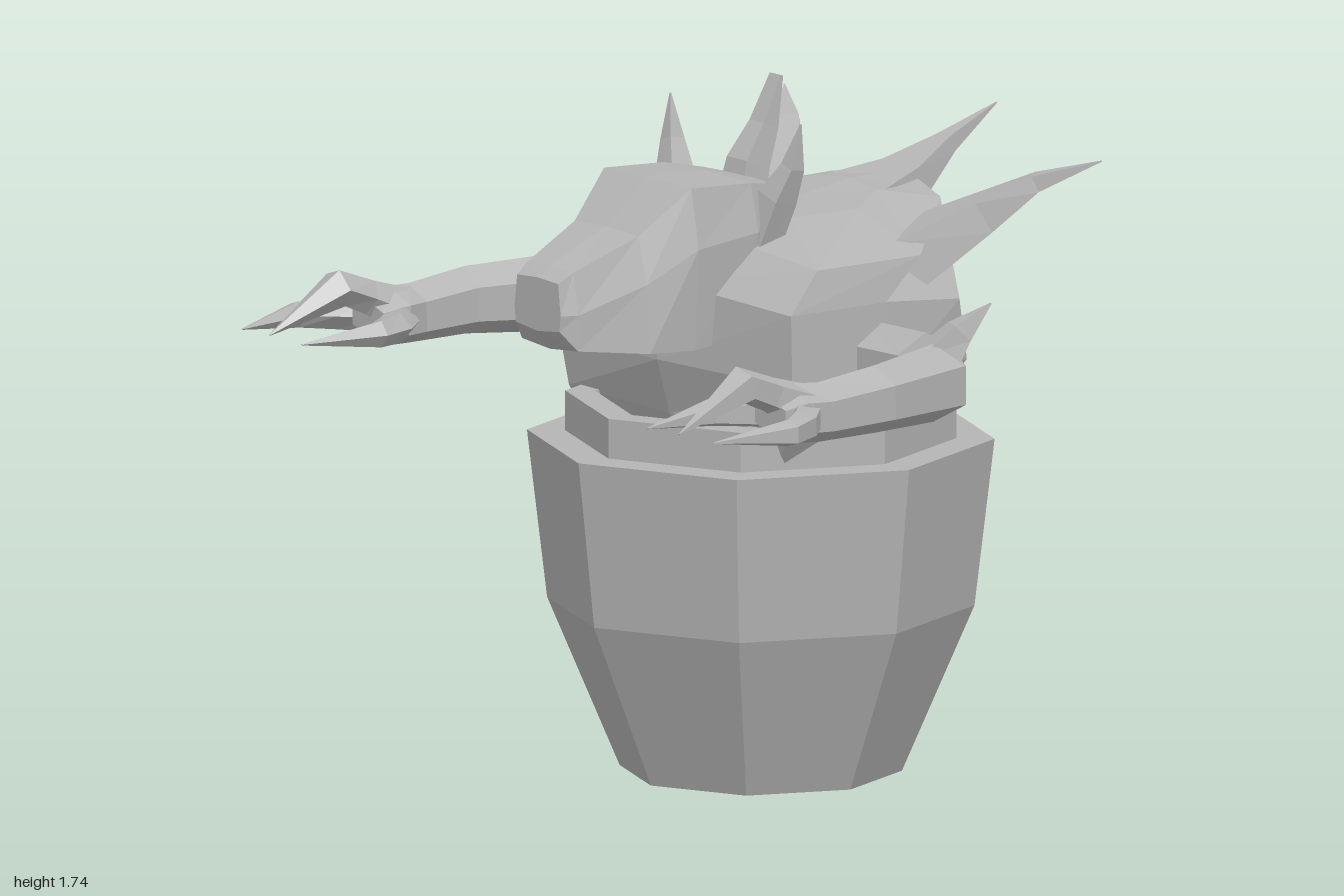
import * as THREE from 'three';

const V = (x, y, z) => new THREE.Vector3(x, y, z);

// Closed skin over a list of rings; faces are turned outward by signed volume
function loft(rings, flip = 1) {
  const tris = [];
  const n = rings[0].length;
  for (let i = 0; i + 1 < rings.length; i++) {
    for (let j = 0; j < n; j++) {
      const k = (j + 1) % n, a = rings[i], b = rings[i + 1];
      tris.push([a[j], a[k], b[k]], [a[j], b[k], b[j]]);
    }
  }
  const centre = (r) => r.reduce((s, p) => s.add(p), V(0, 0, 0)).divideScalar(n);
  const first = rings[0], last = rings[rings.length - 1];
  const c0 = centre(first), c1 = centre(last);
  for (let j = 0; j < n; j++) {
    const k = (j + 1) % n;
    tris.push([first[k], first[j], c0], [last[j], last[k], c1]);
  }
  let volume = 0;
  for (const [a, b, c] of tris) {
    volume += a.clone().sub(c0).dot(b.clone().sub(c0).cross(c.clone().sub(c0)));
  }
  const pos = [];
  for (const [a, b, c] of tris) {
    for (const p of volume * flip < 0 ? [a, c, b] : [a, b, c]) pos.push(p.x * flip, p.y, p.z);
  }
  const g = new THREE.BufferGeometry();
  g.setAttribute('position', new THREE.Float32BufferAttribute(pos, 3));
  g.computeVertexNormals();
  return g;
}

// Tapered limb through stations [x, y, z, half width, half height]
function limb(stations, sides = 6, flip = 1) {
  const pts = stations.map((s) => V(s[0], s[1], s[2]));
  const whole = pts[pts.length - 1].clone().sub(pts[0]).normalize();
  const ref = Math.abs(whole.y) > 0.75 ? V(0, 0, -1) : V(0, 1, 0);
  const rings = stations.map((s, i) => {
    const before = pts[Math.max(i - 1, 0)], after = pts[Math.min(i + 1, pts.length - 1)];
    const t = after.clone().sub(before).normalize();
    const u = ref.clone().cross(t).normalize();
    const w = t.clone().cross(u);
    return Array.from({ length: sides }, (_, j) => {
      const a = ((j + 0.5) / sides) * Math.PI * 2;
      return pts[i].clone().addScaledVector(u, Math.cos(a) * s[3])
        .addScaledVector(w, Math.sin(a) * (s[4] ?? s[3]));
    });
  });
  return loft(rings, flip);
}

// Full ring from one half running front centre to back centre
function mirrorRing(half) {
  const pts = half.map((p) => V(...p));
  const other = pts.slice(1, -1).reverse().map((p) => V(-p.x, p.y, p.z));
  return [...pts, ...other];
}

export function createModel() {
  const model = new THREE.Group();
  const clay = new THREE.MeshStandardMaterial({ color: 0xb4b4b4 });
  clay.name = 'clay grey';
  clay.flatShading = true;
  clay.side = THREE.DoubleSide;
  const add = (name, geometry, parent = model) => {
    const mesh = new THREE.Mesh(geometry, clay);
    mesh.name = name;
    parent.add(mesh);
    return mesh;
  };

  // Eight-sided pot, open below, with a raised collar
  const potProfile = [[0.35, 0], [0.53, 0.42], [0.58, 0.84], [0.485, 0.84], [0.485, 0.94], [0.41, 0.94], [0.39, 0.8]];
  const pot = add('pot', new THREE.LatheGeometry(potProfile.map((p) => new THREE.Vector2(...p)), 8));
  pot.position.z = -0.09;

  // Torso: rings from the hidden tail tip up to the shell top
  const body = [
    [[0, 0.02, -0.085], [0.005, 0.02, -0.087], [0.005, 0.02, -0.09], [0.005, 0.02, -0.093], [0, 0.02, -0.095]],
    [[0, 0.45, 0.06], [0.14, 0.45, 0.03], [0.16, 0.45, -0.09], [0.12, 0.45, -0.2], [0, 0.45, -0.24]],
    [[0, 0.93, 0.2], [0.43, 0.93, 0.17], [0.44, 0.93, -0.1], [0.34, 0.93, -0.35], [0, 0.93, -0.45]],
    [[0, 1.07, 0.24], [0.455, 1.06, 0.18], [0.46, 1.05, -0.15], [0.4, 1.05, -0.42], [0, 1.07, -0.52]],
    [[0, 1.27, 0.23], [0.45, 1.24, 0.18], [0.455, 1.24, -0.12], [0.42, 1.21, -0.38], [0, 1.22, -0.43]],
    [[0, 1.38, 0.1], [0.43, 1.34, 0.08], [0.44, 1.34, -0.24], [0.21, 1.42, -0.49], [0, 1.45, -0.55]],
    [[0, 1.42, -0.06], [0.15, 1.41, -0.06], [0.2, 1.42, -0.24], [0.12, 1.44, -0.36], [0, 1.45, -0.38]],
  ];
  add('body', loft(body.map(mirrorRing)));

  // Spikes along the back of the shell
  add('middleBackSpike', limb([[0, 1.37, -0.34, 0.2, 0.08], [0, 1.43, -0.55, 0.1, 0.055], [0, 1.5, -0.68, 0.035, 0.03], [0, 1.58, -0.84, 0.002]], 4));

  // Head: sections from neck to snout [z, top half, top y, mid half, mid y, bottom half, bottom y]
  const sections = [
    [-0.02, 0.14, 1.5, 0.16, 1.38, 0.14, 1.18],
    [0.08, 0.17, 1.52, 0.2, 1.4, 0.18, 1.14],
    [0.27, 0.17, 1.53, 0.2, 1.38, 0.185, 1.125],
    [0.4, 0.125, 1.42, 0.155, 1.3, 0.17, 1.13],
    [0.58, 0.09, 1.345, 0.11, 1.24, 0.11, 1.15],
    [0.62, 0.08, 1.32, 0.09, 1.24, 0.085, 1.2],
  ];
  add('head', loft(sections.map(([z, a, ya, b, yb, c, yc]) =>
    mirrorRing([[0, ya + 0.005, z], [a, ya, z], [b, yb, z], [c, yc, z], [0, yc - 0.01, z]]))));
  add('crestHorn', limb([[0, 1.4, -0.02, 0.07, 0.06], [0, 1.53, -0.05, 0.055, 0.055], [0, 1.62, -0.1, 0.04, 0.035], [0, 1.74, -0.14, 0.03, 0.006]], 4));

  // Mirrored parts
  for (const [side, s] of [['left', 1], ['right', -1]]) {
    const put = (name, stations, sides, parent) => add(`${side}${name}`, limb(stations, sides, s), parent);

    put('BackSpike', [[0.29, 1.3, -0.3, 0.15, 0.1], [0.4, 1.41, -0.47, 0.085, 0.06], [0.49, 1.49, -0.57, 0.045, 0.03], [0.62, 1.55, -0.67, 0.002]], 4);
    put('Horn', [[0.16, 1.34, 0.05, 0.05, 0.05], [0.2, 1.48, 0.02, 0.05, 0.05], [0.235, 1.56, 0, 0.03, 0.03], [0.255, 1.67, -0.01, 0.002]], 4);

    // Arm bending forward to a three-clawed hand
    const arm = new THREE.Group();
    arm.name = `${side}Arm`;
    model.add(arm);
    put('ArmTube', [
      [0.38, 1.09, -0.1, 0.092, 0.1], [0.62, 1.09, -0.11, 0.092, 0.1], [0.735, 1.09, -0.04, 0.1, 0.098],
      [0.8, 1.09, 0.2, 0.082, 0.085], [0.8, 1.08, 0.38, 0.078, 0.075], [0.785, 1.085, 0.46, 0.095, 0.075],
      [0.785, 1.085, 0.52, 0.07, 0.045],
    ], 6, arm);
    put('ElbowSpike', [[0.71, 1.13, -0.06, 0.07], [0.74, 1.21, -0.12, 0.04], [0.765, 1.275, -0.2, 0.002]], 4, arm);
    put('OuterClaw', [[0.83, 1.08, 0.44, 0.045], [0.91, 1.08, 0.52, 0.045, 0.04], [0.965, 1.08, 0.6, 0.035], [0.92, 1.075, 0.81, 0.002]], 5, arm);
    put('MiddleClaw', [[0.79, 1.1, 0.43, 0.06], [0.79, 1.14, 0.52, 0.045], [0.79, 1.175, 0.61, 0.05, 0.05], [0.8, 1.08, 0.82, 0.002]], 5, arm);
    put('InnerClaw', [[0.74, 1.08, 0.45, 0.045], [0.68, 1.08, 0.52, 0.045, 0.04], [0.645, 1.08, 0.6, 0.035], [0.675, 1.075, 0.82, 0.002]], 5, arm);
  }
  return model;
}
